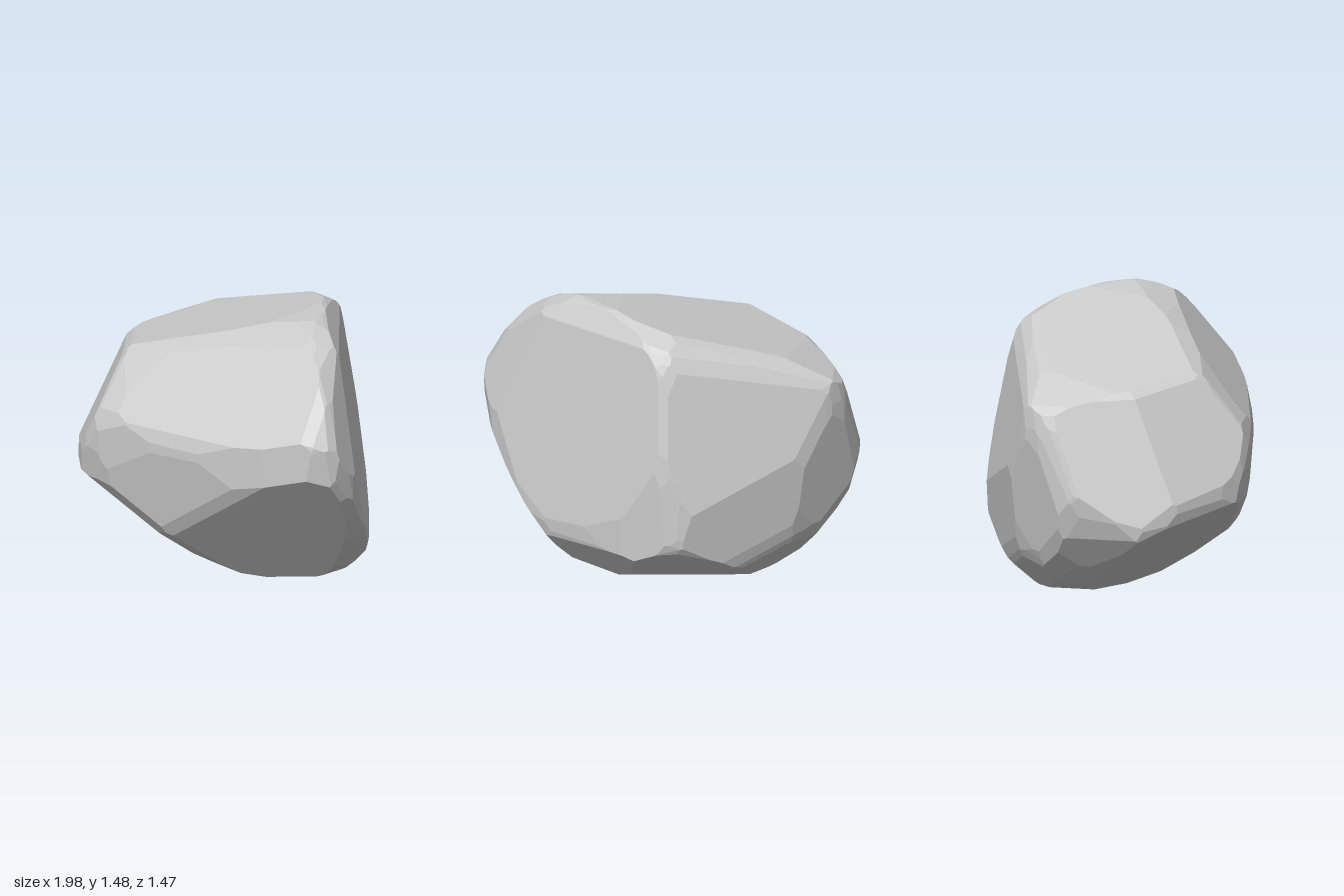
import * as THREE from 'three';
import { ConvexGeometry } from 'three/addons/geometries/ConvexGeometry.js';

const CENTRE = new THREE.Vector3(0, 0.75, 0);

// Outlines of the boulder along the three axes
const frontOutline = [[-1, 0.63], [-0.97, 0.82], [-0.88, 1.09], [-0.6, 1.23], [0.17, 1.48], [0.5, 1.485], [0.7, 1.39],
  [0.88, 1.2], [0.97, 1.02], [1, 0.87], [0.98, 0.72], [0.88, 0.5], [0.78, 0.34], [0.57, 0.08], [0.5, 0.05],
  [0.1, 0], [-0.1, 0], [-0.5, 0.04], [-0.62, 0.08], [-0.8, 0.24], [-0.93, 0.42]];
const sideOutline = [[0.74, 0.83], [0.74, 0.68], [0.71, 0.52], [0.6, 0.32], [0.4, 0.16], [0.2, 0.04], [0, 0], [-0.18, 0],
  [-0.35, 0.02], [-0.48, 0.07], [-0.6, 0.16], [-0.72, 0.28], [-0.74, 0.48], [-0.7, 0.85], [-0.62, 1.25],
  [-0.55, 1.36], [-0.33, 1.48], [-0.05, 1.485], [0.03, 1.46], [0.2, 1.39], [0.4, 1.28], [0.51, 1.2], [0.69, 0.98]];
const topOutline = [[-1, 0.1], [-0.98, -0.1], [-0.9, -0.28], [-0.79, -0.42], [-0.52, -0.57], [-0.2, -0.7], [-0.03, -0.74],
  [0.03, -0.73], [0.27, -0.6], [0.62, -0.32], [0.82, -0.1], [0.95, 0.1], [1, 0.22], [0.97, 0.32], [0.9, 0.4],
  [0.75, 0.47], [0.3, 0.62], [0, 0.69], [-0.35, 0.74], [-0.48, 0.73], [-0.6, 0.65], [-0.82, 0.45], [-0.95, 0.25]];

// Large broken faces: outward direction and plane offset
const facets = [
  [-0.28, 1, 0.08, 1.378],       // sloping top
  [0.17, 0.62, 0.76, 1.083],     // upper front
  [0.24, -0.17, 1, 0.555],       // middle front
  [0.42, -0.52, 0.52, 0.157],    // lower front, +x side
  [-0.28, -0.75, 0.5, 0.08],     // lower front, -x side
  [-0.75, 0.45, 0.68, 1.19],     // upper front corner, -x side
  [-0.888, 0.326, 0.321, 1.075], // upper flank, -x side
  [0.67, 0.15, -0.74, 0.69],     // big back face, +x side
  [0.8, 0.25, -0.5, 0.905],      // back face beside the nose
  [-0.33, 0.2, -1, 0.855],       // back face, -x side
  [-0.35, 0.7, -0.65, 1.3],      // worn back top edge
  [0.5, 0.45, -0.55, 0.975],     // worn top edge, +x side
  [0.75, 0.5, 0.4, 1.345],       // nose ridge
  [-0.42, -0.11, -0.9, 0.637],   // lower back, near the corner
  [-0.7, -0.13, -0.65, 0.7],     // lower back, near the flank
  [-0.5, -0.65, -0.55, 0.39],    // back underside, -x side
  [-0.75, -0.5, -0.25, 0.53],    // flank underside
  [0.5, -0.6, -0.6, 0.36],       // back underside, +x side
];

function makePlane(x, y, z, d) {
  const n = new THREE.Vector3(x, y, z);
  const length = n.length();
  return { n: n.divideScalar(length), d: d / length };
}

// One plane per outline edge, swept along the viewing axis
function outlinePlanes(points, toNormal) {
  const mid = [0, 1].map((k) => points.reduce((s, p) => s + p[k], 0) / points.length);
  return points.map((a, i) => {
    const b = points[(i + 1) % points.length];
    let u = b[1] - a[1], v = a[0] - b[0];
    if (u * (a[0] - mid[0]) + v * (a[1] - mid[1]) < 0) { u = -u; v = -v; }
    const d = Math.max(...points.map((p) => u * p[0] + v * p[1]));
    return makePlane(...toNormal(u, v), d);
  });
}

// Corners of the solid enclosed by planes, found through the dual hull
function corners(planes) {
  const dual = new ConvexGeometry(planes.map(({ n, d }) => n.clone().divideScalar(d - n.dot(CENTRE))));
  const { position, normal } = dual.attributes;
  const result = [];
  for (let i = 0; i < position.count; i += 3) {
    const n = new THREE.Vector3().fromBufferAttribute(normal, i);
    const p = new THREE.Vector3().fromBufferAttribute(position, i);
    const corner = n.divideScalar(n.dot(p)).add(CENTRE);
    const inside = planes.every((q) => q.n.dot(corner) < q.d + 0.002);
    if (inside && !result.some((c) => c.distanceTo(corner) < 0.004)) result.push(corner);
  }
  return result;
}

// Shave the edges between neighbouring large faces
function wornEdges(faces, points, depth) {
  const cuts = [];
  faces.forEach((a, i) => faces.slice(i + 1).forEach((b) => {
    const angle = a.n.angleTo(b.n);
    if (angle < 0.45 || angle > 1.75) return;
    const n = a.n.clone().add(b.n).normalize();
    cuts.push({ n, d: Math.max(...points.map((p) => n.dot(p))) - depth });
  }));
  return cuts;
}

export function createModel() {
  const group = new THREE.Group();
  group.name = 'boulder';

  const faces = facets.map((f) => makePlane(...f));
  const planes = [
    ...faces,
    ...outlinePlanes(frontOutline, (u, v) => [u, v, 0]),
    ...outlinePlanes(sideOutline, (u, v) => [0, v, u]),
    ...outlinePlanes(topOutline, (u, v) => [u, 0, v]),
  ];
  planes.push(...wornEdges(faces, corners(planes), 0.013));

  const rock = new THREE.Mesh(
    new ConvexGeometry(corners(planes)),
    new THREE.MeshStandardMaterial({ color: 0xcccccc, flatShading: true }),
  );
  rock.name = 'rock';
  group.add(rock);
  return group;
}
